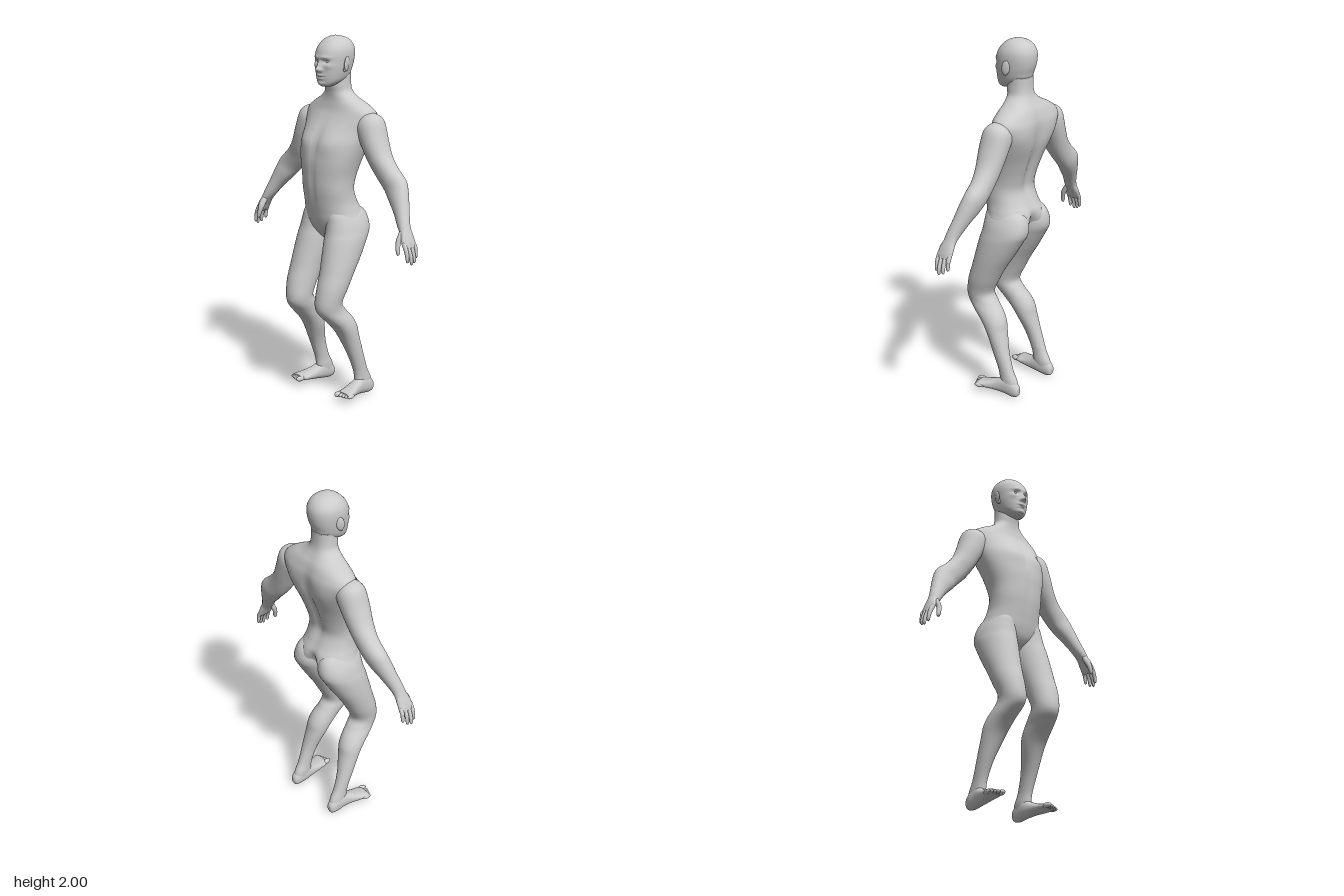
import * as THREE from 'three';

const material = new THREE.MeshStandardMaterial({ color: 0xcccccc, roughness: 0.8 });

// Smooth closed loft. A section is [t, x0, x1, z0, z1, bend]: the extents of a rounded ring at t,
// where bend sweeps the ring's sides back. relief: [x, t, side, rx, rt, height] swells or dents
// the front (side 1) or back (side -1). map places a local (x, t, z) in the model.
function loft(name, sections, { sides = 32, steps = 6, power = 2, relief = [], map = (x, t, z) => [x, t, z] } = {}) {
  const rows = (sections.length - 1) * steps;
  const at = (k) => sections[Math.max(0, Math.min(sections.length - 1, k))];
  const sample = (i) => {
    const k = Math.min(Math.floor(i / steps), sections.length - 2), f = i / steps - k;
    return [0, 1, 2, 3, 4, 5].map((j) => {
      const [a, b, c, d] = [at(k - 1), at(k), at(k + 1), at(k + 2)].map((s) => s[j] ?? 0);
      return b + 0.5 * f * (c - a + f * (2 * a - 5 * b + 4 * c - d + f * (3 * (b - c) + d - a)));
    });
  };
  const round = (v) => Math.sign(v) * Math.abs(v) ** (2 / power);
  const pos = [];
  for (let i = -1; i <= rows + 1; i++) {
    const [t, x0, x1, z0, z1, bend] = sample(Math.max(0, Math.min(rows, i)));
    const size = i < 0 || i > rows ? 0 : 0.5;   // collapsed rings close the ends
    for (let j = 0; j < sides; j++) {
      const a = (j / sides) * Math.PI * 2, c = round(Math.cos(a)), s = round(Math.sin(a));
      const x = (x0 + x1) / 2 + c * size * (x1 - x0);
      let z = (z0 + z1) / 2 + s * size * (z1 - z0) - bend * c * c;
      for (const [bx, bt, side, rx, rt, h] of relief) {
        const facing = Math.min(1, Math.max(0, side * s * 2));
        z += side * h * facing * Math.exp(-(((Math.abs(x) - bx) / rx) ** 2) - ((t - bt) / rt) ** 2);
      }
      pos.push(...map(x, t, z));
    }
  }
  const index = [];
  for (let i = 0; i < rows + 2; i++) {
    for (let j = 0; j < sides; j++) {
      const a = i * sides + j, b = i * sides + (j + 1) % sides;
      index.push(a, a + sides, b, b, a + sides, b + sides);
    }
  }
  // Turn the faces outwards whatever the mapping did
  const p = (k) => new THREE.Vector3().fromArray(pos, k * 3);
  let volume = 0;
  for (let k = 0; k < index.length; k += 3) volume += p(index[k]).dot(p(index[k + 1]).cross(p(index[k + 2])));
  if (volume < 0) index.reverse();
  const geometry = new THREE.BufferGeometry();
  geometry.setAttribute('position', new THREE.Float32BufferAttribute(pos, 3));
  geometry.setIndex(index);
  geometry.computeVertexNormals();
  const mesh = new THREE.Mesh(geometry, material);
  mesh.name = name;
  return mesh;
}

function ball(name, position, radii, turn = [0, 0, 0]) {
  const mesh = new THREE.Mesh(new THREE.SphereGeometry(1, 20, 14), material);
  mesh.name = name;
  mesh.position.set(...position);
  mesh.scale.set(...radii);
  mesh.rotation.set(...turn);
  return mesh;
}

// Torso with pelvis and neck
function makeTorso() {
  return loft('torso', [
    [0.895, -0.03, 0.03, -0.07, 0.03], [0.92, -0.08, 0.08, -0.11, 0.055], [0.96, -0.145, 0.145, -0.15, 0.082],
    [1.01, -0.174, 0.174, -0.168, 0.098], [1.06, -0.163, 0.163, -0.158, 0.108], [1.11, -0.153, 0.153, -0.13, 0.117],
    [1.18, -0.153, 0.153, -0.105, 0.127], [1.25, -0.16, 0.16, -0.118, 0.13], [1.34, -0.183, 0.183, -0.148, 0.128],
    [1.43, -0.208, 0.208, -0.178, 0.108, 0.01], [1.5, -0.228, 0.228, -0.188, 0.075, 0.025], [1.56, -0.245, 0.245, -0.19, 0.037, 0.02],
    [1.6, -0.235, 0.235, -0.182, 0.015, 0.01], [1.635, -0.185, 0.185, -0.17, 0.005, 0.005], [1.665, -0.125, 0.125, -0.152, 0],
    [1.7, -0.08, 0.08, -0.134, 0], [1.74, -0.07, 0.07, -0.126, 0.005], [1.8, -0.068, 0.068, -0.125, 0]
  ], {
    sides: 64, power: 2.25, relief: [
      [0.09, 1.44, 1, 0.07, 0.06, 0.014],    // chest
      [0, 1.46, 1, 0.018, 0.1, -0.008],      // breastbone
      [0, 1.22, 1, 0.014, 0.12, -0.006],     // belly line
      [0.12, 1.5, -1, 0.06, 0.09, 0.008],    // shoulder blades
      [0, 1.36, -1, 0.03, 0.2, -0.022],      // spine
      [0, 0.97, -1, 0.035, 0.07, -0.06]      // cleft
    ]
  });
}

function makeHead() {
  const head = new THREE.Group();
  head.name = 'head';
  head.add(loft('skull', [
    [1.733, -0.028, 0.028, 0.0, 0.05], [1.745, -0.048, 0.048, -0.04, 0.065], [1.765, -0.066, 0.066, -0.085, 0.07],
    [1.79, -0.077, 0.077, -0.118, 0.074], [1.825, -0.086, 0.086, -0.132, 0.075], [1.86, -0.091, 0.091, -0.144, 0.075],
    [1.9, -0.094, 0.094, -0.15, 0.073], [1.935, -0.09, 0.09, -0.147, 0.06], [1.965, -0.075, 0.075, -0.131, 0.036],
    [1.985, -0.053, 0.053, -0.105, 0.01], [1.996, -0.026, 0.026, -0.07, -0.02], [2, -0.005, 0.005, -0.045, -0.038]
  ], {
    sides: 80, steps: 8, power: 2.15, relief: [
      [0, 1.826, 1, 0.013, 0.013, 0.024], [0, 1.847, 1, 0.011, 0.02, 0.016],    // nose
      [0.014, 1.822, 1, 0.008, 0.009, 0.01],                                    // nostrils
      [0.035, 1.867, 1, 0.018, 0.012, -0.014], [0.03, 1.889, 1, 0.03, 0.009, 0.006],   // sockets, brow
      [0, 1.794, 1, 0.025, 0.007, 0.007], [0, 1.777, 1, 0.022, 0.007, 0.006],   // lips
      [0, 1.786, 1, 0.026, 0.003, -0.006], [0, 1.75, 1, 0.022, 0.013, 0.007],   // mouth, chin
      [0.055, 1.845, 1, 0.018, 0.016, 0.006]                                    // cheekbones
    ]
  }));
  for (const side of [1, -1]) {
    head.add(ball('eye', [side * 0.035, 1.867, 0.046], [0.014, 0.01, 0.012]));
    head.add(ball('ear', [side * 0.094, 1.855, -0.035], [0.009, 0.039, 0.023], [-0.15, side * 0.3, 0]));
    head.add(ball('earLobe', [side * 0.09, 1.825, -0.026], [0.008, 0.015, 0.011]));
  }
  return head;
}

// Arm and hand, laid out along a line leaning 30 degrees out from the shoulder
function makeArm(side) {
  const arm = new THREE.Group();
  arm.name = side > 0 ? 'leftArm' : 'rightArm';
  const map = (x, t, z) => [side * (0.24 + 0.496 * t + 0.868 * x), 1.53 - 0.868 * t + 0.496 * x, z];
  arm.add(loft('armAndPalm', [
    [-0.075, -0.06, 0.015, -0.125, -0.05], [-0.045, -0.085, 0.052, -0.15, -0.022], [0, -0.09, 0.067, -0.162, -0.006],
    [0.09, -0.088, 0.05, -0.157, -0.004], [0.18, -0.087, 0.04, -0.147, -0.015], [0.26, -0.079, 0.053, -0.14, -0.028],
    [0.34, -0.06, 0.08, -0.135, -0.03], [0.4, -0.045, 0.078, -0.12, -0.02], [0.475, -0.023, 0.067, -0.092, -0.008],
    [0.55, -0.01, 0.056, -0.064, 0.008], [0.59, -0.002, 0.049, -0.056, 0.015], [0.63, 0.003, 0.044, -0.059, 0.028],
    [0.665, 0.005, 0.037, -0.059, 0.032], [0.685, 0.01, 0.03, -0.054, 0.026]
  ], { map, power: 2.15 }));
  // Fingers: [z, tip] from the little finger to the forefinger
  [[-0.048, 0.738], [-0.024, 0.76], [0, 0.768], [0.022, 0.752]].forEach(([z, tip]) => {
    const ring = (t, x, r) => [t, x - r, x + r, z - r, z + r];
    arm.add(loft('finger', [ring(0.65, 0.022, 0.011), ring(0.69, 0.021, 0.0115), ring(tip - 0.035, 0.015, 0.0105),
      ring(tip - 0.01, 0.006, 0.009), ring(tip, 0.002, 0.004)], { map, sides: 14, steps: 4 }));
  });
  const thumb = (t, x, z, r) => [t, x - r, x + r, z - r, z + r];
  arm.add(loft('thumb', [thumb(0.585, 0.018, 0.0, 0.014), thumb(0.62, 0.005, 0.022, 0.018), thumb(0.65, -0.009, 0.035, 0.014),
    thumb(0.685, -0.019, 0.041, 0.011), thumb(0.698, -0.022, 0.042, 0.005)], { map, sides: 14, steps: 4 }));
  return arm;
}

// Bent leg with a slightly raised, turned-out foot
function makeLeg(side) {
  const leg = new THREE.Group();
  leg.name = side > 0 ? 'leftLeg' : 'rightLeg';
  const upright = (x, t, z) => [side * x, t, z];
  leg.add(loft('leg', [
    [1.09, 0.05, 0.135, -0.1, 0.06], [1.05, 0.02, 0.163, -0.155, 0.085], [1, 0.006, 0.186, -0.174, 0.092], [0.95, 0.005, 0.199, -0.172, 0.1],
    [0.9, 0.008, 0.207, -0.145, 0.114], [0.81, 0.02, 0.21, -0.09, 0.137], [0.73, 0.033, 0.208, -0.038, 0.158],
    [0.65, 0.042, 0.203, 0.006, 0.183], [0.57, 0.048, 0.19, 0.042, 0.197], [0.52, 0.053, 0.187, 0.012, 0.188],
    [0.47, 0.062, 0.197, -0.03, 0.143], [0.42, 0.068, 0.203, -0.055, 0.093], [0.36, 0.08, 0.203, -0.066, 0.05],
    [0.25, 0.113, 0.198, -0.095, 0.0], [0.15, 0.126, 0.192, -0.128, -0.038], [0.09, 0.126, 0.192, -0.158, -0.048],
    [0.04, 0.132, 0.19, -0.165, -0.05], [0.015, 0.145, 0.18, -0.15, -0.07]
  ], { map: upright, sides: 40, power: 2.1 }));
  // Foot runs from heel to toes, its rings given as x and y extents
  leg.add(loft('foot', [
    [-0.175, 0.15, 0.175, 0.025, 0.055], [-0.163, 0.137, 0.186, 0.005, 0.075], [-0.13, 0.13, 0.194, 0, 0.1],
    [-0.08, 0.127, 0.198, 0.007, 0.107], [-0.03, 0.13, 0.208, 0.014, 0.085], [0.02, 0.134, 0.226, 0.02, 0.068],
    [0.055, 0.138, 0.238, 0.025, 0.06], [0.075, 0.148, 0.235, 0.03, 0.055]
  ], { map: (x, t, z) => [side * x, z, t], power: 2.3 }));
  // Toes from big to little
  for (let i = 0; i < 5; i++) {
    const r = i ? 0.011 : 0.015;
    leg.add(ball('toe', [side * (0.158 + (i ? 0.007 : 0) + i * 0.0165), 0.043 - i * 0.001, 0.083 - i * 0.007], [r, r, 0.028],
      [0, side * 0.15, 0]));
  }
  return leg;
}

export function createModel() {
  const model = new THREE.Group();
  model.name = 'standingMan';
  model.add(makeTorso(), makeHead());
  for (const side of [1, -1]) model.add(makeArm(side), makeLeg(side));
  return model;
}
